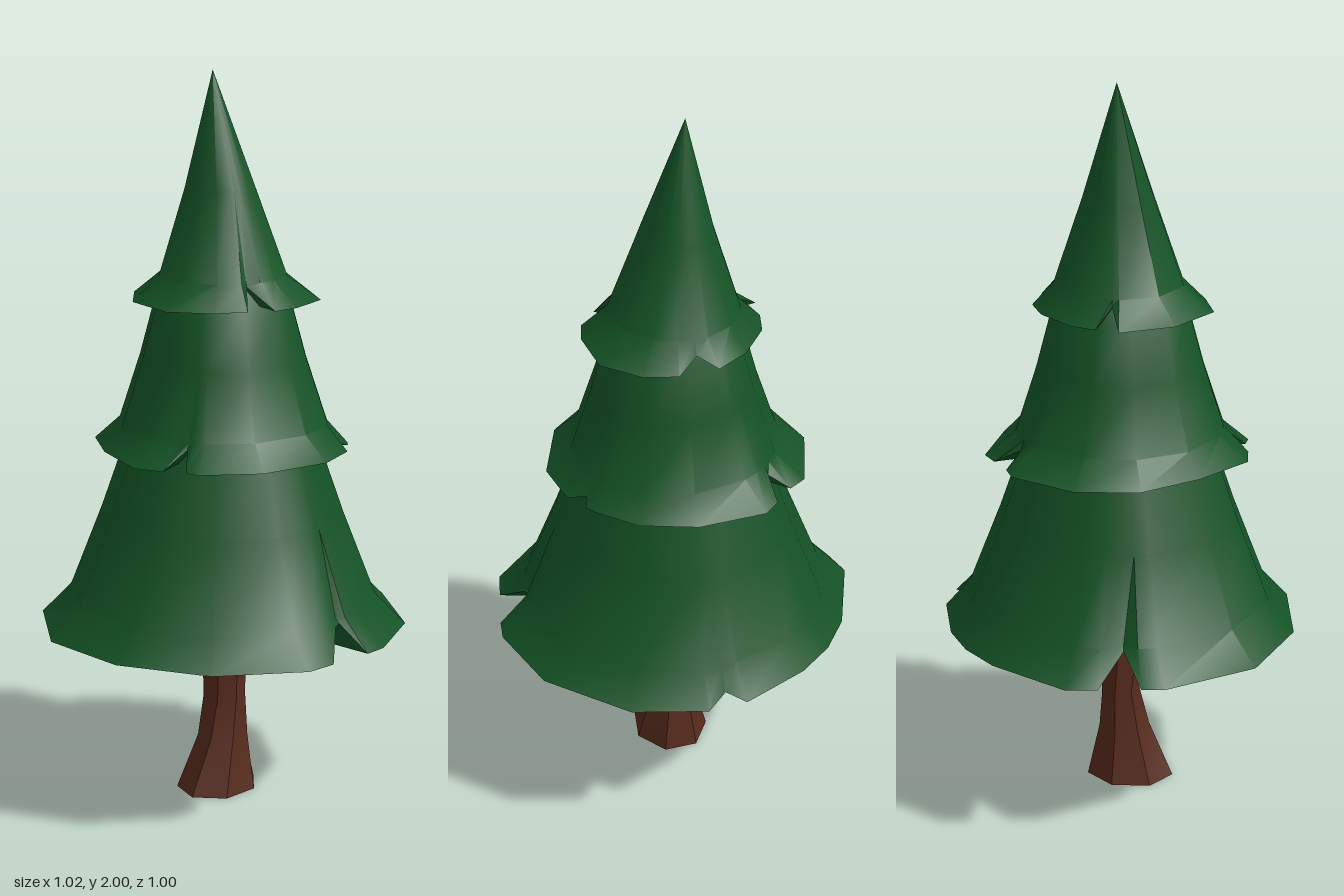
import * as THREE from 'three';
import { toCreasedNormals } from 'three/addons/utils/BufferGeometryUtils.js';

const green = new THREE.MeshStandardMaterial({ color: 0x145226 });
const brown = new THREE.MeshStandardMaterial({ color: 0x562a1c });

// Skin a stack of rings (arrays of Vector3, bottom to top) and cap both ends.
function skin(rings, crease) {
  const pos = [];
  const tri = (a, b, c) => {
    const area = b.clone().sub(a).cross(c.clone().sub(a)).length();
    if (area > 1e-7) for (const p of [a, b, c]) pos.push(p.x, p.y, p.z);
  };
  const n = rings[0].length;
  const centre = (ring) => ring.reduce((s, p) => s.add(p), new THREE.Vector3()).divideScalar(n);
  const low = centre(rings[0]);
  low.x = low.z = 0;
  const top = rings[rings.length - 1];
  const high = centre(top);
  for (let i = 0; i < n; i++) {
    const j = (i + 1) % n;
    for (let k = 0; k + 1 < rings.length; k++) {
      tri(rings[k][j], rings[k][i], rings[k + 1][i]);
      tri(rings[k][j], rings[k + 1][i], rings[k + 1][j]);
    }
    tri(low, rings[0][i], rings[0][j]);
    tri(high, top[j], top[i]);
  }
  const geo = new THREE.BufferGeometry();
  geo.setAttribute('position', new THREE.Float32BufferAttribute(pos, 3));
  return toCreasedNormals(geo, crease);
}

// One skirt of foliage: a notched rim [x, z] and a profile of [y, radius, xShift].
// Rim points cut inwards are also lifted, which makes the notches.
function tier(name, rim, profile) {
  const [y0, R] = profile[0];
  const [y1, r1] = profile[1];
  const rings = profile.map(([y, r, shift = 0], k) =>
    rim.map(([x, z]) => {
      const d = Math.hypot(x, z);
      if (k === 0) {
        const t = THREE.MathUtils.clamp((R - d) / (R - r1), 0, 1);
        return new THREE.Vector3(x, y0 + (y1 - y0) * 0.85 * t * t, z);
      }
      const s = (k === 1 ? Math.min(r, d * 0.97) : r) / d;
      return new THREE.Vector3(x * s + shift, y, z * s);
    }));
  const mesh = new THREE.Mesh(skin(rings, 0.6), green);
  mesh.name = name;
  return mesh;
}

// Slightly twisted trunk with a flared, off-centre foot.
function trunk() {
  const sides = 7;
  // y, centre x, centre z, radius x, radius z, twist
  const sections = [
    [0, 0.005, 0.03, 0.108, 0.125, 0],
    [0.15, 0.01, 0.01, 0.07, 0.073, 0.12],
    [0.26, 0.005, 0, 0.064, 0.054, 0.25],
    [0.4, 0.003, 0, 0.063, 0.063, 0.4],
    [0.54, 0.005, 0, 0.072, 0.075, 0.5],
  ];
  const rings = sections.map(([y, cx, cz, rx, rz, twist]) =>
    Array.from({ length: sides }, (_, i) => {
      const a = (i / sides) * Math.PI * 2 + Math.PI / 2 - twist;
      return new THREE.Vector3(cx + rx * Math.cos(a), y, cz + rz * Math.sin(a));
    }));
  const mesh = new THREE.Mesh(skin(rings, 0.4), brown);
  mesh.name = 'trunk';
  return mesh;
}

export function createModel() {
  const tree = new THREE.Group();
  tree.name = 'pineTree';
  tree.add(trunk());

  tree.add(tier('lowerFoliage', [
    [0.06, -0.5], [0.26, -0.44], [0.45, -0.24], [0.51, -0.02], [0.5, 0.045], [0.415, 0.055],
    [0.42, 0.08], [0.47, 0.17], [0.45, 0.255], [0.26, 0.43], [0, 0.497], [-0.26, 0.44],
    [-0.45, 0.235], [-0.465, 0.175], [-0.395, 0.11], [-0.495, 0.065], [-0.515, -0.02],
    [-0.42, -0.245], [-0.34, -0.345], [-0.24, -0.42], [-0.05, -0.495], [0, -0.46],
  ], [[0.485, 0.5], [0.57, 0.425], [0.8, 0.335], [0.98, 0.272], [1.04, 0.25]]));

  tree.add(tier('middleFoliage', [
    [0.04, -0.345], [0.19, -0.29], [0.28, -0.2], [0.3, -0.17], [0.29, -0.135], [0.335, -0.11],
    [0.355, 0.03], [0.28, 0.22], [0.15, 0.33], [0.11, 0.33], [0.08, 0.28], [0.05, 0.35],
    [-0.03, 0.365], [-0.2, 0.27], [-0.33, 0.14], [-0.37, -0.03], [-0.3, -0.22],
    [-0.25, -0.25], [-0.195, -0.225], [-0.195, -0.3], [-0.15, -0.34],
  ], [[0.985, 0.35], [1.05, 0.287], [1.23, 0.228], [1.39, 0.185], [1.44, 0.155]]));

  tree.add(tier('upperFoliage', [
    [0.06, -0.235], [0.15, -0.21], [0.24, -0.12], [0.25, 0.02], [0.23, 0.09], [0.14, 0.09],
    [0.18, 0.145], [0.12, 0.21], [0, 0.26], [-0.16, 0.19], [-0.25, 0.06], [-0.18, 0.025],
    [-0.24, -0.005], [-0.22, -0.08], [-0.14, -0.18], [-0.05, -0.23], [0, -0.195],
  ], [[1.39, 0.24], [1.455, 0.177], [1.69, 0.097, -0.008], [2, 0, -0.03]]));

  return tree;
}
